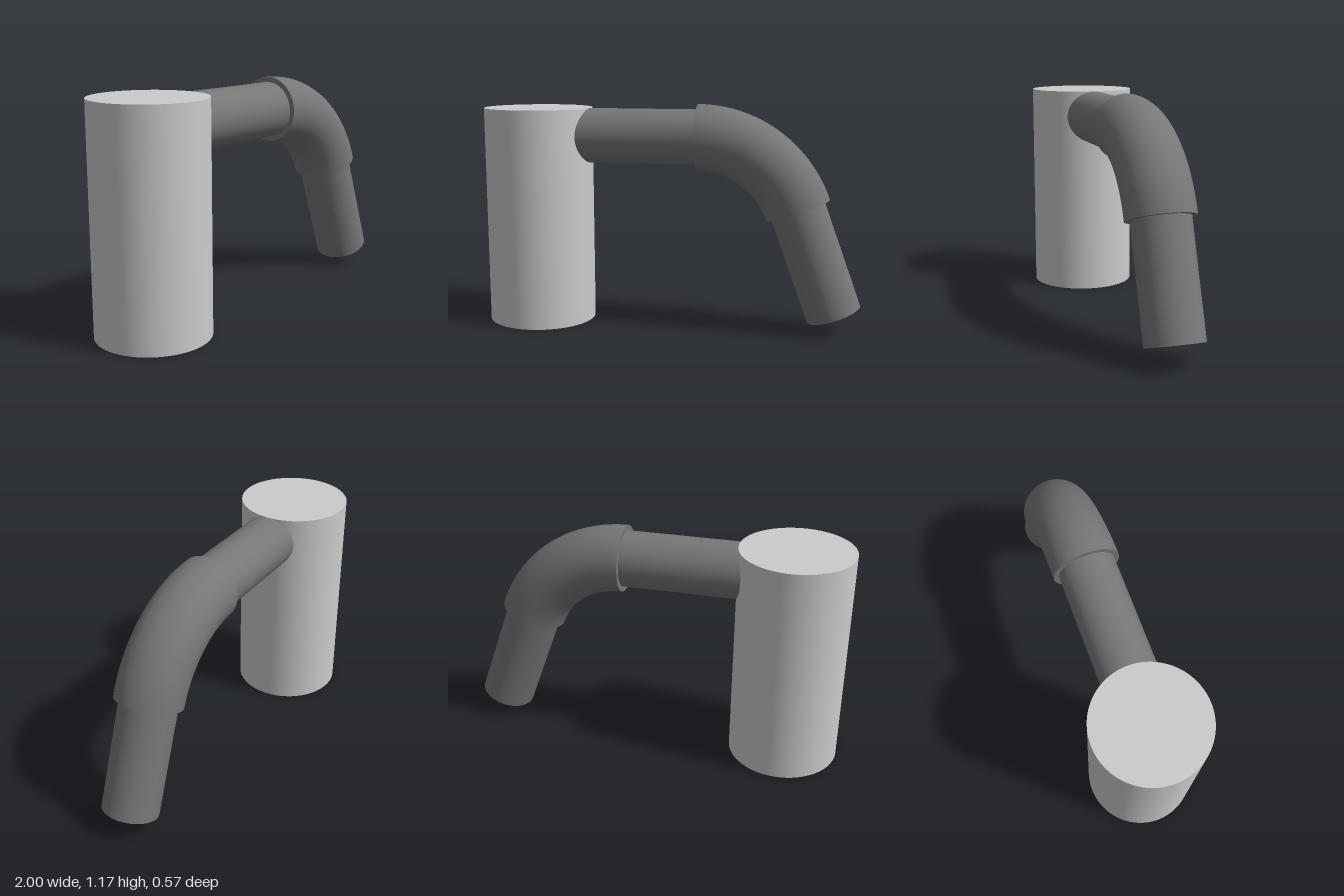
import * as THREE from 'three';

const PIPE_Z = 0.006;      // pipe run sits slightly toward the front
const PIPE_Y = 1.0;        // height of the horizontal run
const PIPE_R = 0.143, ELBOW_R = 0.17;
const BEND_X = 0.15, BEND_R = 0.55;
const BEND = THREE.MathUtils.degToRad(70);

export function createModel() {
  const model = new THREE.Group();
  const light = new THREE.MeshStandardMaterial({ color: 0xcccccc });
  const dark = new THREE.MeshStandardMaterial({ color: 0x777777 });

  function add(parent, name, geometry, material) {
    const mesh = new THREE.Mesh(geometry, material);
    mesh.name = name;
    parent.add(mesh);
    return mesh;
  }

  // Straight capped pipe between two points
  function pipe(name, from, to) {
    const dir = to.clone().sub(from);
    const mesh = add(model, name, new THREE.CylinderGeometry(PIPE_R, PIPE_R, dir.length(), 64), dark);
    mesh.position.copy(from).add(to).multiplyScalar(0.5);
    mesh.quaternion.setFromUnitVectors(new THREE.Vector3(0, 1, 0), dir.normalize());
  }

  // Upright cylindrical body
  const body = add(model, 'body', new THREE.CylinderGeometry(0.2857, 0.2857, 1.143, 96), light);
  body.position.set(-0.7143, 0.5715, 0);

  // Elbow sleeve: arc of a torus, closed at both ends
  const elbow = new THREE.Group();
  elbow.name = 'elbow';
  elbow.position.set(BEND_X, PIPE_Y - BEND_R, PIPE_Z);
  model.add(elbow);
  const endAngle = Math.PI / 2 - BEND;
  add(elbow, 'elbowSleeve',
    new THREE.TorusGeometry(BEND_R, ELBOW_R, 64, 48, BEND).rotateZ(endAngle), dark);
  for (const [name, angle, side] of [['elbowInletRim', Math.PI / 2, 1], ['elbowOutletRim', endAngle, -1]]) {
    const cap = add(elbow, name, new THREE.CircleGeometry(ELBOW_R, 64), dark);
    const normal = new THREE.Vector3(-Math.sin(angle), Math.cos(angle), 0).multiplyScalar(side);
    cap.position.set(BEND_R * Math.cos(angle), BEND_R * Math.sin(angle), 0);
    cap.quaternion.setFromUnitVectors(new THREE.Vector3(0, 0, 1), normal);
  }

  // Horizontal run from the body into the elbow
  pipe('horizontalPipe', new THREE.Vector3(-0.6, PIPE_Y, PIPE_Z), new THREE.Vector3(BEND_X + 0.02, PIPE_Y, PIPE_Z));

  // Sloping outlet leaving the elbow
  const outlet = new THREE.Vector3(
    BEND_X + BEND_R * Math.sin(BEND), PIPE_Y - BEND_R * (1 - Math.cos(BEND)), PIPE_Z);
  const down = new THREE.Vector3(Math.cos(BEND), -Math.sin(BEND), 0);
  pipe('outletPipe', outlet.clone().addScaledVector(down, -0.02), outlet.clone().addScaledVector(down, 0.573));

  return model;
}
